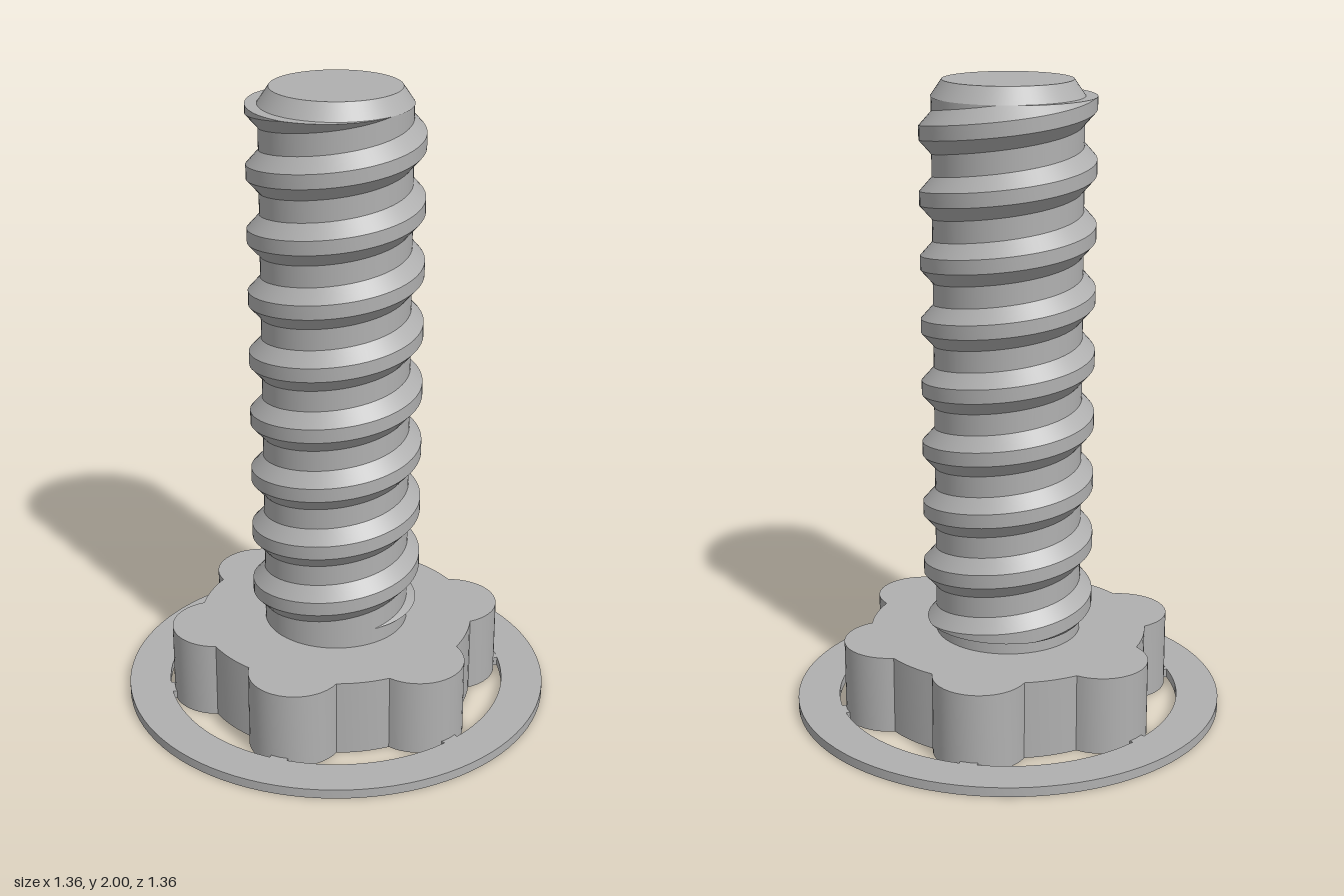
import * as THREE from 'three';
import { toCreasedNormals } from 'three/addons/utils/BufferGeometryUtils.js';

const TAU = Math.PI * 2;
const steel = new THREE.MeshStandardMaterial({ color: 0xb0b0b0 });
steel.name = 'light grey';

const SHAFT_R = 0.23, CREST_R = 0.268, HEAD_TOP = 0.25, RING_H = 0.03;

function part(name, geometry) {
  const mesh = new THREE.Mesh(geometry, steel);
  mesh.name = name;
  return mesh;
}

// Extrudes a plan outline upwards from y = 0
function slab(shape, height, curveSegments = 48) {
  const g = new THREE.ExtrudeGeometry(shape, { depth: height, bevelEnabled: false, curveSegments });
  g.rotateX(-Math.PI / 2);
  return toCreasedNormals(g, 0.5);
}

// Plan of the knob: a disc merged with six round lobes
function knobShape() {
  const body = 0.44, offset = 0.39, lobe = 0.146;
  const cx = (body * body + offset * offset - lobe * lobe) / (2 * offset);
  const cy = Math.sqrt(body * body - cx * cx);
  const bodyAngle = Math.atan2(cy, cx);
  const lobeAngle = Math.atan2(cy, cx - offset);
  const points = [];
  for (let k = 0; k < 6; k++) {
    const dir = k * TAU / 6;
    for (let i = 0; i < 20; i++) {
      const a = dir + lobeAngle * (i / 10 - 1);
      points.push(new THREE.Vector2(
        offset * Math.cos(dir) + lobe * Math.cos(a),
        offset * Math.sin(dir) + lobe * Math.sin(a)));
    }
    for (let i = 0; i < 6; i++) {
      const a = dir + bodyAngle + (TAU / 6 - 2 * bodyAngle) * i / 6;
      points.push(new THREE.Vector2(body * Math.cos(a), body * Math.sin(a)));
    }
  }
  return new THREE.Shape(points);
}

// Right-hand thread, cut flat at both ends
function threadGeometry() {
  const pitch = 0.197, base = 0.24, low = 0.3, high = 1.95;
  const half = 0.065, crestHalf = 0.022;
  const radiusAt = d => Math.min(CREST_R,
    SHAFT_R + (CREST_R - SHAFT_R) * Math.max(0, half - Math.abs(d)) / (half - crestHalf));
  const section = [-half, -half, -crestHalf, crestHalf, half, half];
  const n = section.length;
  const start = (low - half - base) / pitch, end = (high + half - base) / pitch;
  const steps = Math.ceil((end - start) * 72);
  const pos = [], index = [];
  for (let i = 0; i <= steps; i++) {
    const turn = start + (end - start) * i / steps;
    const mid = base + pitch * turn, t = turn * TAU;
    section.forEach((d, j) => {
      const y = THREE.MathUtils.clamp(mid + d, low, high);
      const r = j === 0 || j === n - 1 ? SHAFT_R - 0.002 : radiusAt(y - mid);
      pos.push(r * Math.cos(t), y, -r * Math.sin(t));
      if (i < steps && j < n - 1) {
        const a = i * n + j, b = a + n;
        index.push(a, b, a + 1, b, b + 1, a + 1);
      }
    });
  }
  const g = new THREE.BufferGeometry();
  g.setAttribute('position', new THREE.Float32BufferAttribute(pos, 3));
  g.setIndex(index);
  return toCreasedNormals(g, 0.5);
}

export function createModel() {
  const model = new THREE.Group();
  model.name = 'thumbScrew';

  // Thin ring around the foot
  const ringShape = new THREE.Shape().absarc(0, 0, 0.68, 0, TAU, false);
  ringShape.holes.push(new THREE.Path().absarc(0, 0, 0.547, 0, TAU, true));
  model.add(part('baseRing', slab(ringShape, RING_H)));

  // Lobed knob, joined to the ring by small tabs
  model.add(part('lobedKnob', slab(knobShape(), HEAD_TOP)));
  for (let k = 0; k < 6; k++) {
    const tab = part('ringTab', new THREE.BoxGeometry(0.025, RING_H - 0.002, 0.055));
    const a = k * TAU / 6;
    tab.position.set(0.539 * Math.cos(a), RING_H / 2, -0.539 * Math.sin(a));
    tab.rotation.y = a;
    model.add(tab);
  }

  // Shaft with a chamfered tip
  const shaft = part('shaft', new THREE.CylinderGeometry(SHAFT_R, SHAFT_R, 1.95 - HEAD_TOP, 72, 1, true));
  shaft.position.y = (1.95 + HEAD_TOP) / 2;
  const tip = part('chamferedTip', new THREE.CylinderGeometry(0.198, 0.232, 0.05, 72));
  tip.position.y = 1.975;
  model.add(shaft, tip);

  model.add(part('thread', threadGeometry()));
  return model;
}
